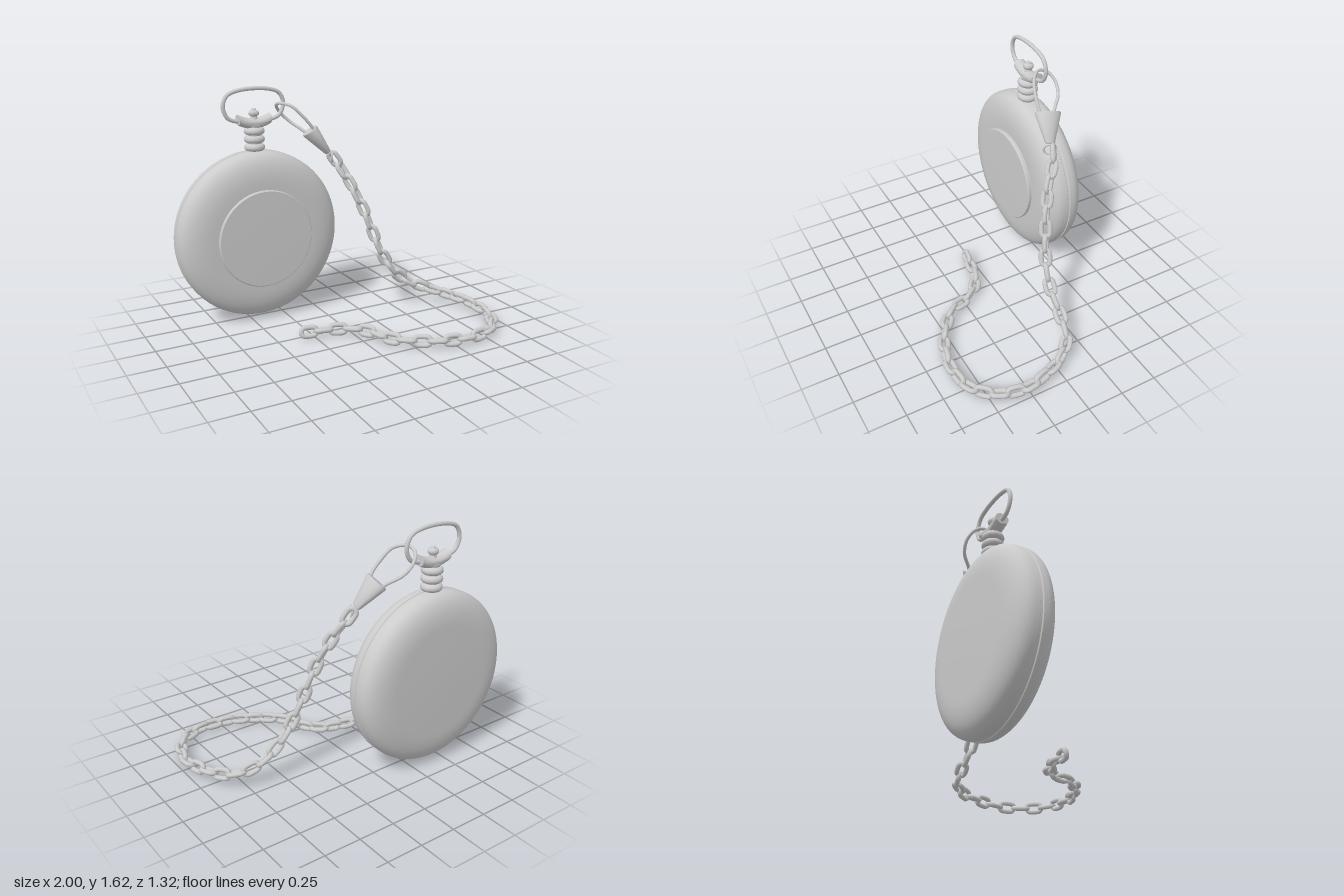
import * as THREE from 'three';
import { toCreasedNormals } from 'three/addons/utils/BufferGeometryUtils.js';

const V = (x, y, z) => new THREE.Vector3(x, y, z);
const material = new THREE.MeshStandardMaterial({ color: 0xcccccc, side: THREE.DoubleSide });

function add(parent, name, geometry, x = 0, y = 0, z = 0) {
  const mesh = new THREE.Mesh(geometry, material);
  mesh.name = name;
  mesh.position.set(x, y, z);
  parent.add(mesh);
  return mesh;
}

function lathe(points, segments, crease = 0.6) {
  const g = new THREE.LatheGeometry(points.map(p => new THREE.Vector2(p[0], p[1])), segments);
  return toCreasedNormals(g, crease);
}

const smoothCurve = (points, closed = false) =>
  new THREE.CatmullRomCurve3(points.map(p => V(...p)), closed, 'centripetal');

// Rounded corner of the case: from the flat face out to the seam
function shellProfile(face, side) {
  const pts = [];
  for (let i = 0; i <= 14; i++) {
    const a = (i / 14) * Math.PI / 2;
    pts.push([0.36 + 0.225 * Math.pow(Math.sin(a), 0.9), side * (0.012 + (face - 0.012) * Math.pow(Math.cos(a), 0.75))]);
  }
  return pts;
}

// Stadium-shaped link, long axis along x, flat in the xy plane
function linkGeometry(halfLength, halfWidth, wire) {
  const r = halfWidth - wire, s = halfLength - halfWidth;
  const path = new THREE.CurvePath();
  const pts = [];
  for (let i = 0; i < 16; i++) {
    const a = -Math.PI / 2 + (i % 8) / 7 * Math.PI + (i < 8 ? 0 : Math.PI);
    pts.push([(i < 8 ? s : -s) + r * Math.cos(a), r * Math.sin(a), 0]);
  }
  return new THREE.TubeGeometry(smoothCurve(pts, true), 40, wire, 8, true);
}

export function createModel() {
  const model = new THREE.Group();
  const watch = new THREE.Group();
  watch.name = 'watch';
  watch.position.set(-0.415, 0, -0.52);
  model.add(watch);

  // Case: two rounded shells meeting at a fine seam
  const back = shellProfile(0.145, -1), front = shellProfile(0.145, 1).reverse();
  const caseProfile = [[0, -0.15], [0.2, -0.149], ...back, [0.578, -0.007], [0.578, 0.007], ...front, [0, 0.147]];
  add(watch, 'case', lathe(caseProfile, 96).rotateX(Math.PI / 2), 0, 0.615, 0);

  // Round cover plate on the front, set off by a small groove
  const plate = [[0.328, 0.13], [0.328, 0.155], [0.338, 0.157], [0.338, 0.172], [0.332, 0.178], [0.2, 0.18], [0, 0.18]];
  add(watch, 'frontPlate', lathe(plate, 80).rotateX(Math.PI / 2), 0, 0.615, 0);

  // Ribbed stem
  const stem = [[0.07, 1.17]];
  for (let k = 0; k < 3; k++) {
    for (let i = 0; i <= 6; i++) {
      const a = (i / 6) * Math.PI;
      stem.push([0.046 + 0.025 * Math.sin(a), 1.222 + k * 0.055 - 0.025 * Math.cos(a)]);
    }
  }
  stem.push([0.05, 1.375], [0, 1.375]);
  add(watch, 'stem', lathe(stem, 32, 1.2));

  // Collar bent gently upward at both ends
  const collar = new THREE.CylinderGeometry(0.036, 0.036, 0.23, 24, 12).rotateZ(Math.PI / 2);
  const p = collar.attributes.position;
  for (let i = 0; i < p.count; i++) {
    const x = p.getX(i);
    p.setXYZ(i, x, p.getY(i) + 2.2 * x * x, p.getZ(i) * 1.25);
  }
  add(watch, 'collar', toCreasedNormals(collar, 0.8), 0, 1.383, 0);

  // Winding knob
  const knob = [[0.03, 1.4], [0.022, 1.43], [0.034, 1.442], [0.036, 1.455], [0.03, 1.467], [0.018, 1.472], [0.016, 1.482], [0, 1.487]];
  add(watch, 'windingKnob', lathe(knob, 24, 1));

  // Bow ring, mirrored about the stem
  const half = [[0.11, 1.402, 0], [0.185, 1.43, 0], [0.217, 1.505, 0], [0.187, 1.578, 0], [0.1, 1.61, 0]];
  const bow = [...half, ...half.map(([x, y, z]) => [-x, y, z]).reverse()];
  add(watch, 'bow', new THREE.TubeGeometry(smoothCurve(bow, true), 96, 0.014, 10, true));

  // Clasp: wire loop hooked through the bow
  const loop = smoothCurve([
    [-0.02, 1.3, -0.39], [-0.05, 1.35, -0.382], [-0.1, 1.41, -0.387], [-0.18, 1.493, -0.42], [-0.24, 1.51, -0.49],
    [-0.235, 1.485, -0.555], [-0.19, 1.43, -0.59], [-0.125, 1.365, -0.575], [-0.07, 1.318, -0.52], [-0.03, 1.28, -0.48],
  ]);
  add(model, 'claspLoop', new THREE.TubeGeometry(loop, 64, 0.011, 8));

  // Clasp: flattened tapering sleeve
  const top = V(-0.038, 1.315, -0.445), tip = V(0.08, 1.158, -0.395);
  const axis = top.clone().sub(tip);
  const length = axis.length();
  axis.normalize();
  const sleeve = [[0, -length / 2], [0.03, -length / 2], [0.036, -length / 2 + 0.008], [0.064, 0],
    [0.09, length / 2 - 0.012], [0.088, length / 2], [0, length / 2 + 0.006]];
  const cone = add(model, 'claspSleeve', lathe(sleeve, 32));
  const wide = V(0, 0, 1).addScaledVector(axis, -axis.z).normalize();
  cone.quaternion.setFromRotationMatrix(new THREE.Matrix4().makeBasis(axis.clone().cross(wide), axis, wide));
  cone.scale.x = 0.62;
  cone.position.copy(top).add(tip).multiplyScalar(0.5);

  // Small ring joining the clasp to the chain
  const ring = add(model, 'joiningRing', new THREE.TorusGeometry(0.034, 0.007, 8, 24), 0.1, 1.13, -0.375);
  ring.rotation.y = 1.1;

  // Chain hanging down, then lying on the floor in a curve
  const path = smoothCurve([
    [0.1, 1.15, -0.4], [0.135, 1.1, -0.39], [0.22, 0.92, -0.305], [0.285, 0.76, -0.255], [0.34, 0.6, -0.225],
    [0.41, 0.42, -0.195], [0.505, 0.28, -0.185], [0.63, 0.18, -0.18], [0.76, 0.12, -0.145], [0.86, 0.09, -0.05],
    [0.93, 0.075, 0.11], [0.955, 0.06, 0.29], [0.895, 0.055, 0.465], [0.78, 0.055, 0.575], [0.635, 0.055, 0.61],
    [0.43, 0.055, 0.58], [0.245, 0.055, 0.48], [0.125, 0.055, 0.365], [0.08, 0.055, 0.24], [0, 0.055, 0.135],
    [-0.1, 0.055, 0.08], [-0.345, 0.06, 0.03],
  ]);
  path.arcLengthDivisions = 800;
  const chain = new THREE.Group();
  chain.name = 'chain';
  model.add(chain);
  const link = linkGeometry(0.07, 0.045, 0.017);
  const count = Math.round(path.getLength() / 0.101);
  for (let i = 0; i < count; i++) {
    const u = (i + 0.5) / count;
    const mesh = add(chain, 'chainLink', link);
    const along = path.getTangentAt(u);
    const side = along.clone().cross(V(0, 1, 0)).normalize();
    const up = side.clone().cross(along);
    mesh.quaternion.setFromRotationMatrix(new THREE.Matrix4().makeBasis(along, up, side));
    // Neighbouring links are turned a quarter, with a slight lean
    mesh.rotateX((i % 2) * Math.PI / 2 + 0.3);
    mesh.position.copy(path.getPointAt(u));
  }
  return model;
}
